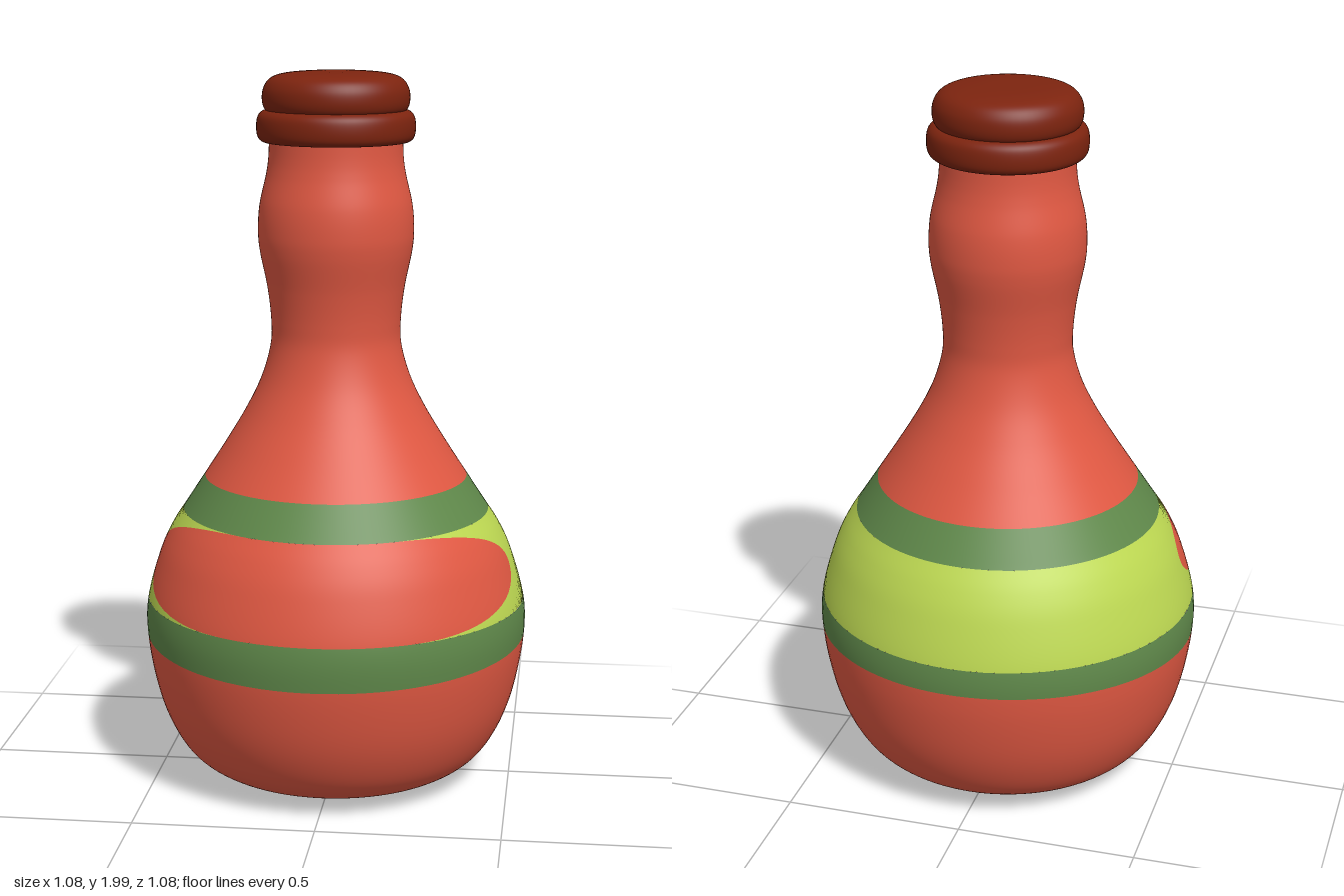
import * as THREE from 'three';

const mat = (name, color) => {
  const m = new THREE.MeshStandardMaterial({ color });
  m.name = name;
  return m;
};

// Smooth curve through [radius, height] points, sampled as Vector2s
const smooth = (pts, n) =>
  new THREE.SplineCurve(pts.map(([r, y]) => new THREE.Vector2(r, y))).getPoints(n);

export function createModel() {
  const red = mat('red glaze', 0xe05842);
  const green = mat('green band', 0x5f884a);
  const lime = mat('lime label', 0xbdd852);
  const brown = mat('brown stopper', 0x7d240f);

  const group = new THREE.Group();
  group.name = 'bottle';
  const add = (name, geometry, material) => {
    const mesh = new THREE.Mesh(geometry, material);
    mesh.name = name;
    group.add(mesh);
  };

  // Bottle silhouette
  const profile = smooth([
    [0, 0.008], [0.1, 0.009], [0.2, 0.014], [0.3, 0.028], [0.37, 0.052], [0.43, 0.1],
    [0.478, 0.18], [0.512, 0.28], [0.535, 0.41], [0.535, 0.52], [0.5, 0.65], [0.465, 0.73],
    [0.42, 0.8], [0.368, 0.88], [0.31, 0.97], [0.25, 1.07], [0.207, 1.16], [0.182, 1.25],
    [0.18, 1.32], [0.19, 1.41], [0.21, 1.51], [0.215, 1.57], [0.21, 1.64], [0.192, 1.72],
    [0.185, 1.77], [0.183, 1.83],
  ], 300);
  const radiusAt = (y) => {
    const i = Math.max(1, profile.findIndex((p) => p.y >= y));
    const a = profile[i - 1], b = profile[i];
    return THREE.MathUtils.mapLinear(y, a.y, b.y, a.x, b.x);
  };

  // Piece of the body wall: at(u, v) returns [angle from front, height]
  const wall = (at, nu, nv) => {
    const pos = [], nor = [], idx = [];
    for (let j = 0; j <= nv; j++) {
      for (let i = 0; i <= nu; i++) {
        const [a, y] = at(i / nu, j / nv);
        const r = radiusAt(y);
        const slope = (radiusAt(y + 0.01) - radiusAt(y - 0.01)) / 0.02;
        const n = new THREE.Vector3(Math.sin(a), -slope, Math.cos(a)).normalize();
        pos.push(r * Math.sin(a), y, r * Math.cos(a));
        nor.push(n.x, n.y, n.z);
        if (i < nu && j < nv) {
          const k = j * (nu + 1) + i, m = k + nu + 1;
          idx.push(k, k + 1, m + 1, k, m + 1, m);
        }
      }
    }
    const g = new THREE.BufferGeometry();
    g.setAttribute('position', new THREE.Float32BufferAttribute(pos, 3));
    g.setAttribute('normal', new THREE.Float32BufferAttribute(nor, 3));
    g.setIndex(idx);
    return g;
  };
  const ring = (lo, hi) => wall((u, v) => {
    const a = u * Math.PI * 2;
    return [a, THREE.MathUtils.lerp(lo(a), hi(a), v)];
  }, 96, 10);

  // Heights of the colour boundaries; the lowest one tilts up to the back
  const baseTop = 0.33;
  const tilt = (a) => 0.432 - 0.023 * Math.cos(a);
  const labelLow = 0.532, labelHigh = 0.786, bandTop = 0.88;

  // Base and neck
  const lower = profile.filter((p) => p.y < baseTop);
  lower.push(new THREE.Vector2(radiusAt(baseTop), baseTop));
  lower[0].x = 0;
  add('base', new THREE.LatheGeometry(lower, 96), red);
  const upper = profile.filter((p) => p.y > bandTop);
  upper.unshift(new THREE.Vector2(radiusAt(bandTop), bandTop));
  add('neck', new THREE.LatheGeometry(upper, 96), red);

  // Belly and the two green bands
  add('belly', ring(() => baseTop, tilt), red);
  add('lowerBand', ring(tilt, () => labelLow), green);
  add('upperBand', ring(() => labelHigh, () => bandTop), green);

  // Round-ended red panel on the front, lime label around the rest
  const middle = (labelLow + labelHigh) / 2, half = (labelHigh - labelLow) / 2;
  const edge = (y, reach) => {
    const s = (y - middle) / half;
    return reach * (0.35 + 0.65 * Math.sqrt(Math.max(0, 1 - s * s)));
  };
  const between = (from, to) => wall((u, v) => {
    const y = middle - half * Math.cos(v * Math.PI);
    return [THREE.MathUtils.lerp(from(y), to(y), u), y];
  }, 64, 32);
  const leftEdge = (y) => edge(y, 1.43);
  const rightEdge = (y) => -edge(y, 1.5);
  add('frontPanel', between(rightEdge, leftEdge), red);
  add('label', between(leftEdge, (y) => rightEdge(y) + Math.PI * 2), lime);

  // Stopper: rounded collar with a domed cap above it
  const collar = smooth([
    [0.18, 1.812], [0.2, 1.81], [0.214, 1.823], [0.218, 1.85], [0.214, 1.878],
    [0.2, 1.893], [0.18, 1.897],
  ], 30);
  add('stopperCollar', new THREE.LatheGeometry(collar, 72), brown);
  const cap = smooth([
    [0.18, 1.885], [0.196, 1.9], [0.202, 1.925], [0.198, 1.955], [0.18, 1.98],
    [0.145, 1.993], [0.08, 1.999], [0, 2],
  ], 40);
  add('stopperCap', new THREE.LatheGeometry(cap, 72), brown);

  return group;
}
